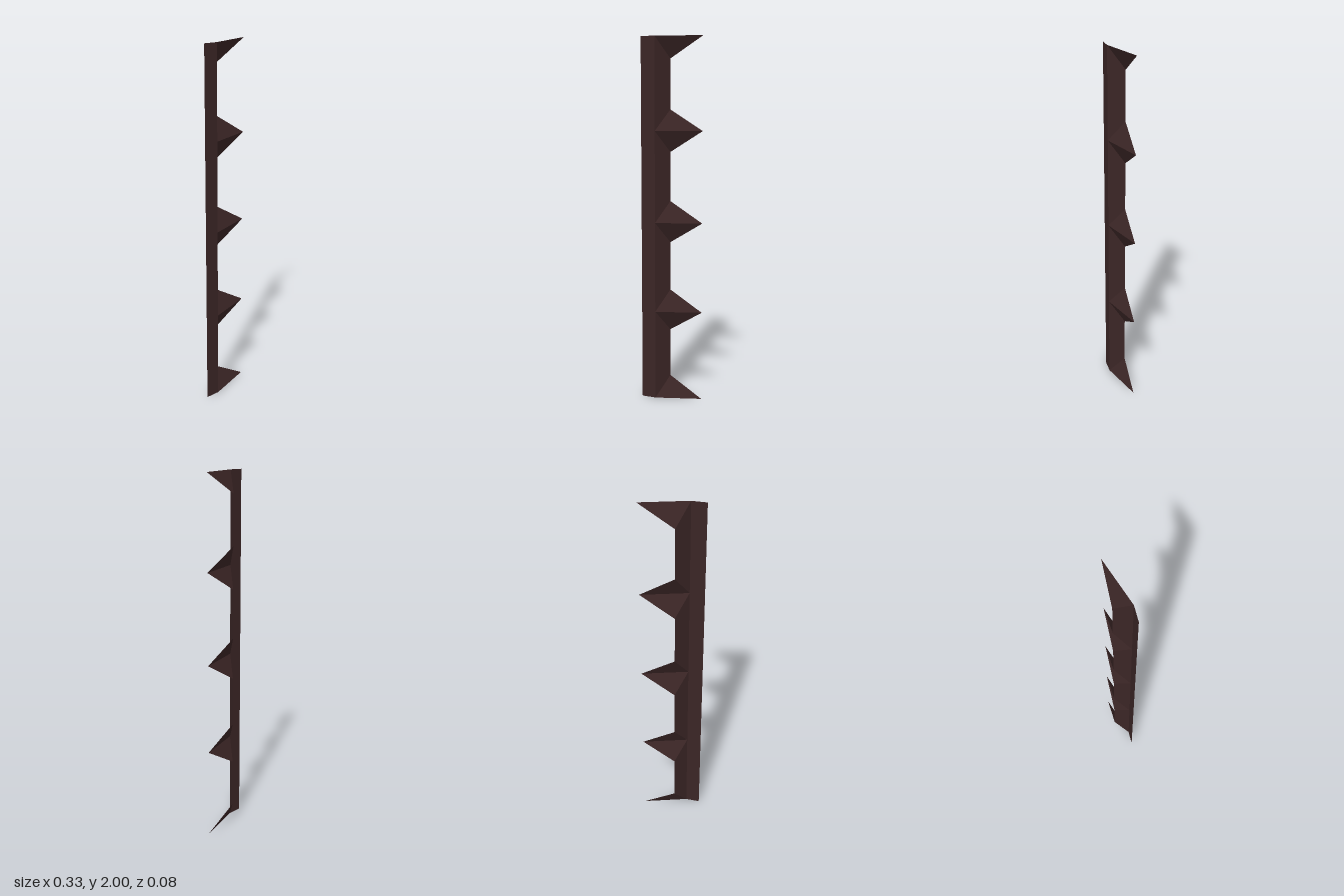
import * as THREE from 'three';

export function createModel() {
  const darkBrown = new THREE.MeshStandardMaterial({ color: 0x3a2525, side: THREE.DoubleSide });
  const model = new THREE.Group();
  model.name = 'spikedStrip';

  const height = 2, bays = 4, pitch = height / bays;
  const reach = 0.115; // half height of a spike where it meets the strip
  const depth = 0.04;
  const edgeX = -0.163, foldX = -0.083, rimX = -0.025, tipX = 0.163;

  // Points along the sheet at a given height
  const fold = y => [foldX, y, depth];
  const rim = y => [rimX, y, -depth];
  const tip = y => [tipX, y, -depth];

  // Flat facet from corners given counter-clockwise as seen from the front
  function addFacet(name, parent, ...corners) {
    const points = [];
    for (let i = 1; i < corners.length - 1; i++) points.push(...corners[0], ...corners[i], ...corners[i + 1]);
    const geometry = new THREE.BufferGeometry();
    geometry.setAttribute('position', new THREE.Float32BufferAttribute(points, 3));
    geometry.computeVertexNormals();
    const mesh = new THREE.Mesh(geometry, darkBrown);
    mesh.name = name;
    parent.add(mesh);
  }

  // Flat front band
  addFacet('frontBand', model, [edgeX, 0, depth], fold(0), fold(height), [edgeX, height, depth]);

  // Slanted panels between the spikes
  for (let i = 0; i < bays; i++) {
    const low = i * pitch, high = low + pitch;
    addFacet('slantedPanel', model, fold(low), rim(low + reach), rim(high - reach), fold(high));
  }

  // Folded spikes, open at the back; the end ones are halves
  for (let i = 0; i <= bays; i++) {
    const y = i * pitch;
    const spike = new THREE.Group();
    spike.name = 'spike';
    if (i < bays) addFacet('spikeUpperFace', spike, fold(y), tip(y), rim(y + reach));
    if (i > 0) addFacet('spikeLowerFace', spike, fold(y), rim(y - reach), tip(y));
    model.add(spike);
  }

  return model;
}
